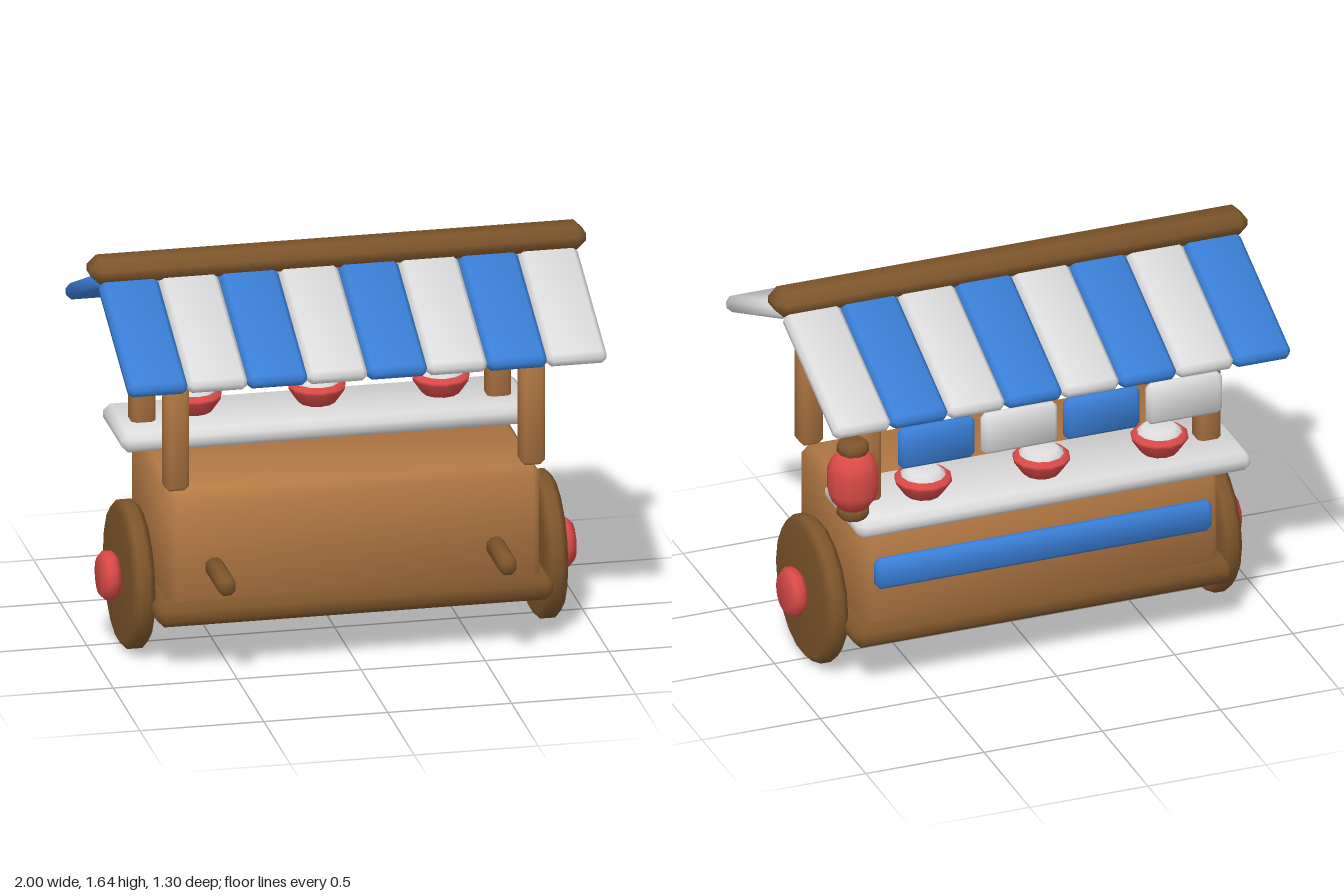
import * as THREE from 'three';
import { ConvexGeometry } from 'three/addons/geometries/ConvexGeometry.js';

const material = (name, color) => {
  const m = new THREE.MeshStandardMaterial({ color });
  m.name = name;
  return m;
};

// Box with one bevel step and soft normals that lean towards the bevels
function bevelBox(w, h, d, bevel) {
  const half = [w / 2, h / 2, d / 2];
  const points = [];
  for (const sx of [-1, 1]) for (const sy of [-1, 1]) for (const sz of [-1, 1]) {
    for (let axis = 0; axis < 3; axis++) {
      const p = [sx, sy, sz].map((s, i) => s * (half[i] - (i === axis ? 0 : bevel)));
      points.push(new THREE.Vector3(...p));
    }
  }
  const geo = new ConvexGeometry(points);
  const pos = geo.attributes.position;
  const n = new THREE.Vector3();
  for (let i = 0; i < pos.count; i++) {
    const p = [pos.getX(i), pos.getY(i), pos.getZ(i)];
    const v = p.map((c, k) => Math.sign(c) * (Math.abs(Math.abs(c) - half[k]) < 1e-4 ? 2.57 : 1));
    n.set(...v).normalize();
    geo.attributes.normal.setXYZ(i, n.x, n.y, n.z);
  }
  return geo;
}

const lathe = (profile, sides) =>
  new THREE.LatheGeometry(profile.map(([r, y]) => new THREE.Vector2(r, y)), sides);

// Closed disc with bevelled rims, centred on its axis
const bevelDisc = (r, h, bevel, sides) => lathe([
  [0, -h / 2], [r - bevel, -h / 2], [r, -h / 2 + bevel],
  [r, h / 2 - bevel], [r - bevel, h / 2], [0, h / 2],
], sides);

export function createModel() {
  const wood = material('wood', 0xb57a45);
  const darkWood = material('dark wood', 0x7d552b);
  const white = material('white', 0xdedede);
  const blue = material('blue', 0x3a80d8);
  const red = material('red', 0xd94a47);

  const group = new THREE.Group();
  group.name = 'foodCart';
  const add = (name, geo, mat, x, y, z) => {
    const mesh = new THREE.Mesh(geo, mat);
    mesh.name = name;
    mesh.position.set(x, y, z);
    group.add(mesh);
    return mesh;
  };

  // Cart body, base, counter and trim
  add('body', bevelBox(1.5, 0.5, 0.72, 0.03), wood, 0, 0.51, 0.02);
  add('base', bevelBox(1.6, 0.1, 0.8, 0.03), darkWood, 0, 0.255, 0.02);
  add('counter', bevelBox(1.665, 0.08, 0.4, 0.025), white, 0, 0.8, -0.296);
  add('trimPanel', bevelBox(1.42, 0.13, 0.06, 0.02), blue, 0, 0.522, -0.35);

  // Wheels, hubs, handles and posts on both sides
  const wheel = bevelDisc(0.3, 0.095, 0.027, 18);
  const hub = bevelDisc(0.1, 0.08, 0.025, 12);
  const handle = bevelBox(0.07, 0.075, 0.3, 0.02);
  const post = bevelBox(0.097, 0.615, 0.097, 0.018);
  for (const s of [-1, 1]) {
    add('wheel', wheel, darkWood, s * 0.833, 0.303, 0.02).rotation.z = -s * Math.PI / 2;
    add('wheelHub', hub, red, s * 0.917, 0.303, 0.02).rotation.z = -s * Math.PI / 2;
    add('handle', handle, darkWood, s * 0.567, 0.443, 0.49);
    add('frontPost', post, wood, s * 0.718, 1.08, 0.353);
    add('backPost', post, wood, s * 0.718, 1.08, -0.28);
  }

  // Striped roof with ridge beam
  add('ridgeBeam', bevelBox(2, 0.1, 0.15, 0.037), darkWood, 0, 1.597, 0.035);
  const slat = bevelBox(0.239, 0.065, 0.635, 0.02);
  for (let i = 0; i < 8; i++) {
    const x = (i - 3.5) * 0.2417 - 0.002;
    const mat = i % 2 ? white : blue;
    add('frontRoofSlat', slat, mat, x, 1.413, 0.35).rotation.x = 0.41;
    add('backRoofSlat', slat, mat, x, 1.413, -0.277).rotation.x = -0.41;
  }

  // Hanging flags under the back eave
  const flag = bevelBox(0.318, 0.178, 0.05, 0.018);
  for (let i = 0; i < 4; i++) {
    add('hangingFlag', flag, i % 2 ? blue : white, (i - 1.5) * 0.349, 1.168, -0.537);
  }

  // Bowls with a white filling
  const bowl = lathe([[0, 0], [0.072, 0], [0.088, 0.022], [0.115, 0.062], [0.115, 0.075],
    [0.095, 0.088], [0, 0.088]], 12);
  const filling = lathe([[0.09, 0], [0.09, 0.026], [0.066, 0.045], [0, 0.045]], 12);
  for (let i = -1; i <= 1; i++) {
    add('bowl', bowl, red, i * 0.5, 0.837, -0.333);
    add('bowlFilling', filling, white, i * 0.5, 0.9, -0.333);
  }

  // Lantern at the back corner
  add('lantern', lathe([[0, -0.125], [0.06, -0.12], [0.088, -0.085], [0.103, -0.045],
    [0.103, 0.045], [0.088, 0.085], [0.06, 0.12], [0, 0.125]], 12), red, 0.88, 1.078, -0.548);
  const cap = bevelDisc(0.064, 0.06, 0.016, 10);
  for (const y of [0.938, 1.218]) add('lanternCap', cap, darkWood, 0.88, y, -0.548);

  return group;
}
